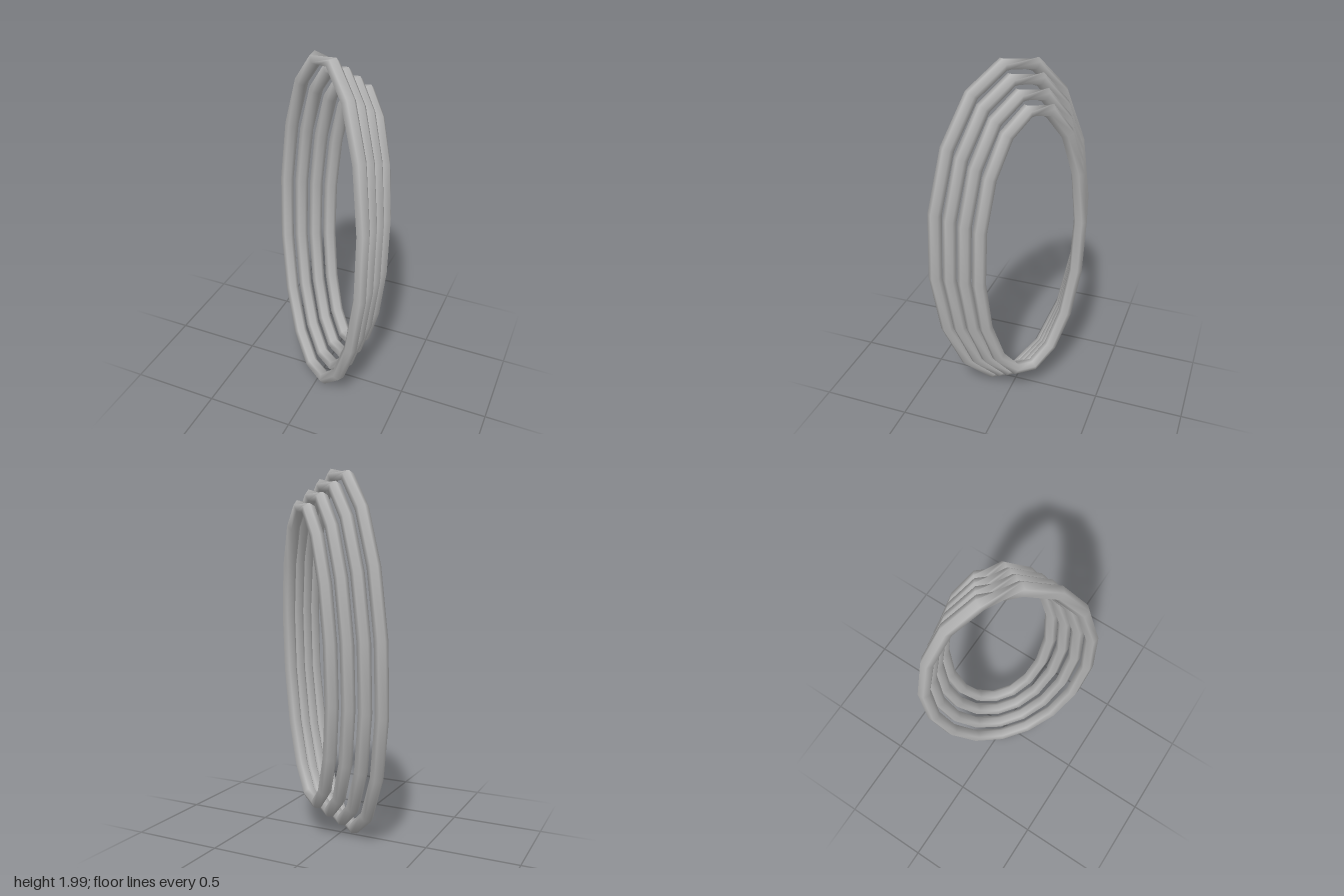
import * as THREE from 'three';
import { mergeVertices } from 'three/addons/utils/BufferGeometryUtils.js';

const SEGMENTS = 16, SIDES = 6, TUBE = 0.036, SEAM = THREE.MathUtils.degToRad(105);

// Elliptical ring of low-poly tube, closed by one twisted segment at the top
function ringGeometry(halfWidth, halfHeight, lean) {
  const geo = new THREE.TorusGeometry(1, 0.1, SIDES, SEGMENTS);
  const pos = geo.attributes.position;
  for (let k = 0; k < pos.count; k++) {
    const i = k % (SEGMENTS + 1), j = Math.floor(k / (SEGMENTS + 1));
    const t = SEAM + (i / SEGMENTS) * Math.PI * 2;
    // the last section is shifted two sides, so the closing segment twists
    const shift = i === 0 || i === SEGMENTS ? (i ? 2 : 0) : 2 * i / SEGMENTS * 0.35;
    const p = ((j + shift) / SIDES) * Math.PI * 2;
    const out = new THREE.Vector2(halfHeight * Math.cos(t), halfWidth * Math.sin(t)).normalize();
    const r = TUBE * Math.cos(p);
    const u = halfWidth * Math.cos(t) + out.x * r;
    const v = halfHeight * Math.sin(t) + out.y * r;
    // the plane of the ring leans backwards at the top
    pos.setXYZ(k, u, v, TUBE * Math.sin(p) - lean * v);
  }
  geo.deleteAttribute('normal');
  geo.deleteAttribute('uv');
  const welded = mergeVertices(geo, 1e-4);
  welded.computeVertexNormals();
  return welded;
}

export function createModel() {
  const group = new THREE.Group();
  group.name = 'nestedRings';
  const metal = new THREE.MeshStandardMaterial({ color: 0xb4b4b4 });
  metal.name = 'grey metal';

  // Four rings, each smaller and further back along the shared axis
  for (let n = 0; n < 4; n++) {
    const halfWidth = 0.46 - 0.051 * n;
    const halfHeight = 0.97 - 0.057 * n;
    const ring = new THREE.Mesh(ringGeometry(halfWidth, halfHeight, 0.037), metal);
    ring.name = 'ring' + (n + 1);
    ring.position.set(-0.005 + 0.0445 * n, 1, 0.028 - 0.052 * n);
    ring.rotation.y = -Math.atan2(0.65, 0.76);
    group.add(ring);
  }
  return group;
}
